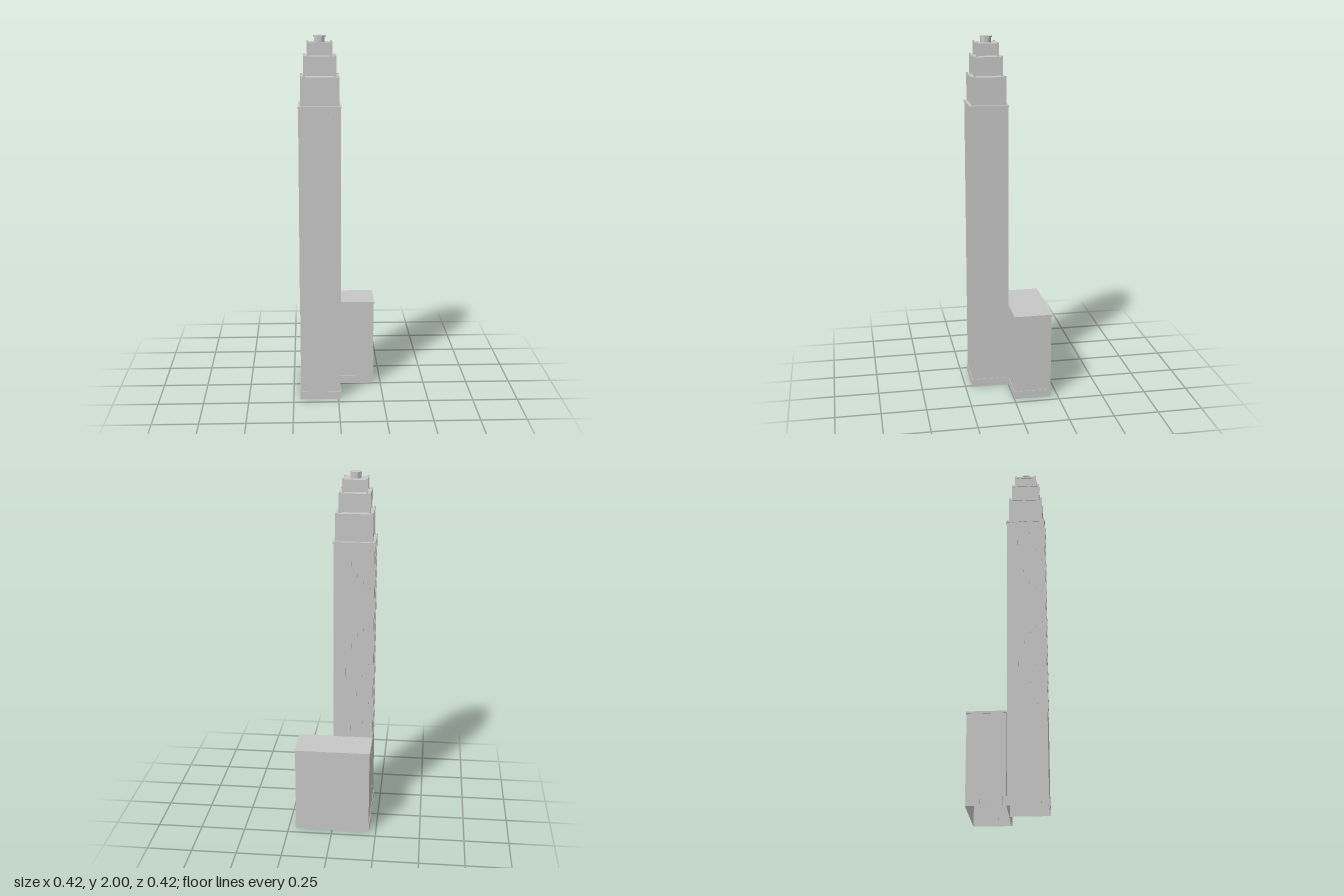
import * as THREE from 'three';

const stone = new THREE.MeshStandardMaterial({ color: 0xc7c7c7, side: THREE.DoubleSide });
stone.name = 'grey stone';

// Box given by its limits on each axis; an open one has no underside
function block(parent, name, x0, x1, y0, y1, z0, z1, open = false) {
  const geo = new THREE.BoxGeometry(x1 - x0, y1 - y0, z1 - z0);
  if (open) {
    geo.setIndex([...geo.index.array].filter((v, i) => i < 18 || i >= 24));
    geo.clearGroups();
  }
  const mesh = new THREE.Mesh(geo, stone);
  mesh.position.set((x0 + x1) / 2, (y0 + y1) / 2, (z0 + z1) / 2);
  mesh.name = name;
  parent.add(mesh);
}

function section(root, name) {
  const g = new THREE.Group();
  g.name = name;
  root.add(g);
  return g;
}

// Row of thin upright strips along one wall; axis is the direction the row runs
function strips(parent, name, axis, from, to, count, wall, y0, y1, w, d) {
  for (let i = 0; i < count; i++) {
    const c = from + (to - from) * i / (count - 1);
    if (axis === 'x') block(parent, name, c - w / 2, c + w / 2, y0, y1, wall - d, wall + d, true);
    else block(parent, name, wall - d, wall + d, y0, y1, c - w / 2, c + w / 2, true);
  }
}

export function createModel() {
  const root = new THREE.Group();
  root.name = 'steppedTower';

  // Tower shaft with its cornice
  const X0 = -0.209, X1 = 0.012, Z0 = -0.001, Z1 = 0.208;
  const shaft = section(root, 'shaft');
  block(shaft, 'shaftBody', X0, X1, 0, 1.63, Z0, Z1, true);
  block(shaft, 'shaftCornice', X0 - 0.003, X1 + 0.004, 1.63, 1.64, Z0 - 0.004, Z1 + 0.003);

  // Slim piers on all four sides
  const piers = section(root, 'piers');
  for (const z of [Z0, Z1]) strips(piers, 'pier', 'x', -0.18, -0.016, 6, z, 0.49, 1.63, 0.01, 0.002);
  for (const x of [X0, X1]) strips(piers, 'pier', 'z', 0.021, 0.183, 6, x, 0.49, 1.63, 0.01, 0.002);

  // Rear wing with its overhanging roof slab
  const wing = section(root, 'wing');
  block(wing, 'wingBody', X0, 0.207, 0, 0.487, -0.209, -0.004, true);
  block(wing, 'wingCornice', -0.212, 0.211, 0.485, 0.497, -0.213, 0);

  // Street level panels with narrow gaps
  const street = section(root, 'streetLevel');
  strips(street, 'streetPanel', 'x', -0.191, -0.006, 6, Z1, 0, 0.045, 0.033, 0.003);
  strips(street, 'streetPanel', 'z', 0.017, 0.191, 6, X1, 0, 0.045, 0.031, 0.003);
  strips(street, 'streetPanel', 'z', -0.19, 0.19, 11, X0, 0, 0.045, 0.034, 0.003);
  strips(street, 'streetPanel', 'x', 0.036, 0.188, 5, -0.004, 0, 0.045, 0.034, 0.003);
  strips(street, 'streetPanel', 'z', -0.19, -0.022, 6, 0.207, 0, 0.045, 0.03, 0.003);

  // Three setbacks, each with corner posts and a thin cap
  const cx = -0.097, cz = 0.103;
  const tiers = [
    [0.101, 0.093, 1.64, 1.795],
    [0.085, 0.078, 1.795, 1.9],
    [0.067, 0.06, 1.9, 1.97],
  ];
  tiers.forEach(([hx, hz, y0, y1], i) => {
    const tier = section(root, 'setback' + (i + 1));
    const bx = hx - 0.004, bz = hz - 0.004;
    block(tier, 'setbackBody', cx - bx, cx + bx, y0, y1 - 0.012, cz - bz, cz + bz);
    block(tier, 'setbackCap', cx - hx, cx + hx, y1 - 0.014, y1 - 0.005, cz - hz, cz + hz);
    for (const sx of [-1, 1]) for (const sz of [-1, 1]) {
      const px = cx + sx * (hx - 0.004), pz = cz + sz * (hz - 0.004);
      block(tier, 'cornerPost', px - 0.005, px + 0.005, y0 - 0.005, y1, pz - 0.005, pz + 0.005);
    }
  });

  // Eight-sided lantern with an overhanging cap
  const lantern = section(root, 'lantern');
  for (const [name, r, y0, y1] of [['lanternStem', 0.03, 1.96, 1.992], ['lanternCap', 0.034, 1.992, 2]]) {
    const geo = new THREE.CylinderGeometry(r, r, y1 - y0, 8).toNonIndexed();
    geo.rotateY(Math.PI / 8);
    geo.computeVertexNormals();
    const mesh = new THREE.Mesh(geo, stone);
    mesh.name = name;
    mesh.position.set(cx, (y0 + y1) / 2, cz);
    lantern.add(mesh);
  }
  return root;
}
